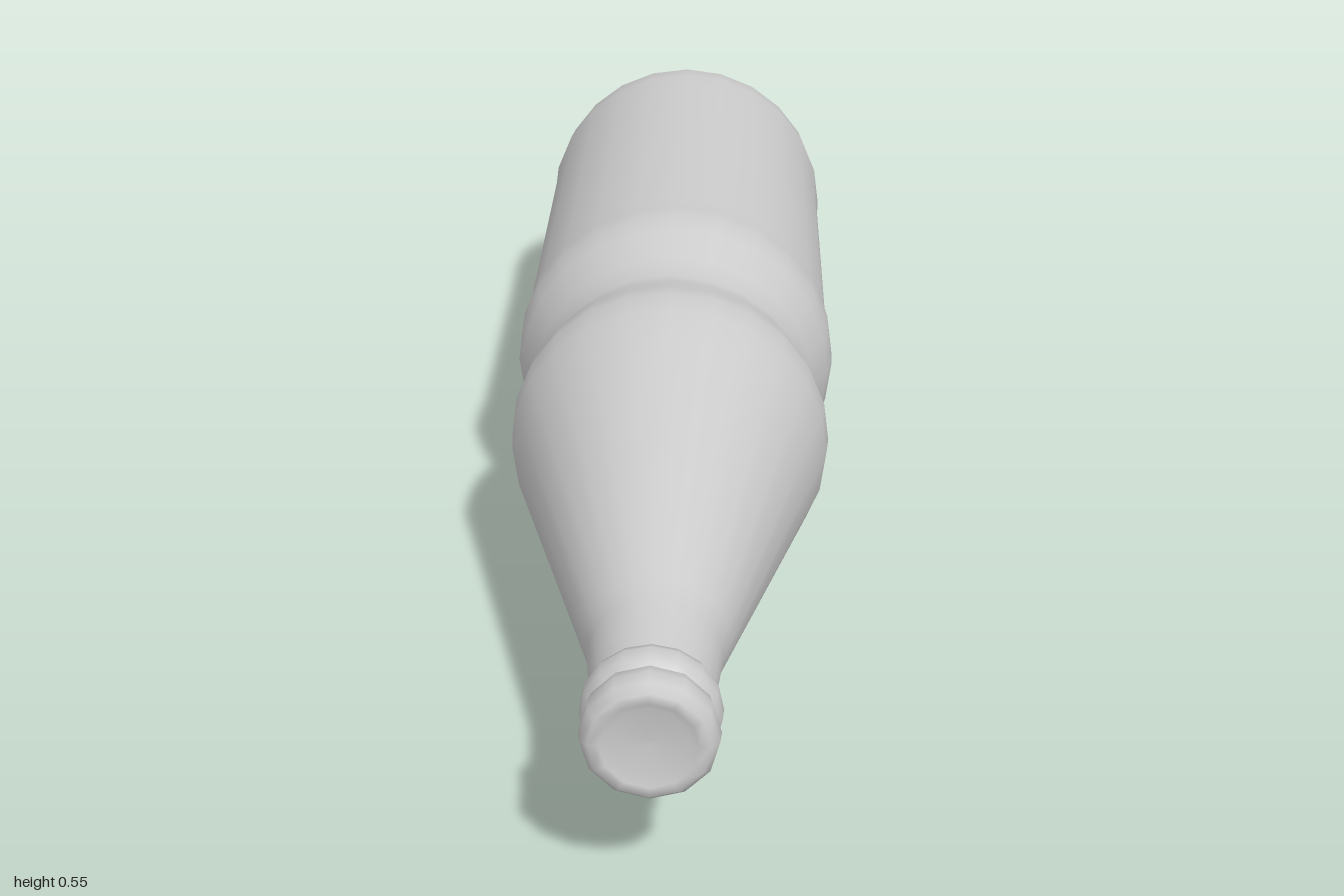
import * as THREE from 'three';

const material = new THREE.MeshStandardMaterial({ color: 0xcccccc });

// Revolve [radius, z] points about the bottle's length, which leans very slightly
function turned(name, points, sides) {
  const geometry = new THREE.LatheGeometry(points.map(([r, z]) => new THREE.Vector2(r, z)), sides);
  geometry.rotateX(Math.PI / 2);
  const pos = geometry.attributes.position;
  for (let i = 0; i < pos.count; i++) {
    const z = pos.getZ(i);
    pos.setX(i, pos.getX(i) + 0.004 * z);
    pos.setY(i, pos.getY(i) + 0.278 + 0.008 * z);
  }
  const mesh = new THREE.Mesh(geometry, material);
  mesh.name = name;
  return mesh;
}

export function createModel() {
  const bottle = new THREE.Group();
  bottle.name = 'bottle';

  // Base, cylindrical body, pinched waist, shoulder and tapering neck
  bottle.add(turned('bottleBody', [
    [0, -0.985], [0.14, -0.988], [0.225, -1], [0.248, -0.992], [0.262, -0.965],
    [0.268, -0.91], [0.265, -0.85], [0.266, -0.25], [0.272, -0.19], [0.271, -0.15],
    [0.262, -0.11], [0.237, -0.05], [0.226, 0], [0.233, 0.04], [0.25, 0.1],
    [0.256, 0.14], [0.251, 0.19], [0.235, 0.25], [0.103, 0.75], [0.093, 0.79],
    [0.083, 0.9], [0.083, 0.95],
  ], 24));

  // Raised collar below the mouth
  bottle.add(turned('neckRing', [
    [0.08, 0.893], [0.09, 0.898], [0.095, 0.912], [0.094, 0.932], [0.086, 0.945], [0.08, 0.947],
  ], 16));

  // Rounded lip with a shallow closed mouth
  bottle.add(turned('lip', [
    [0.08, 0.937], [0.089, 0.947], [0.093, 0.965], [0.091, 0.987],
    [0.08, 0.999], [0.065, 1], [0.053, 0.992], [0, 0.99],
  ], 12));

  return bottle;
}
